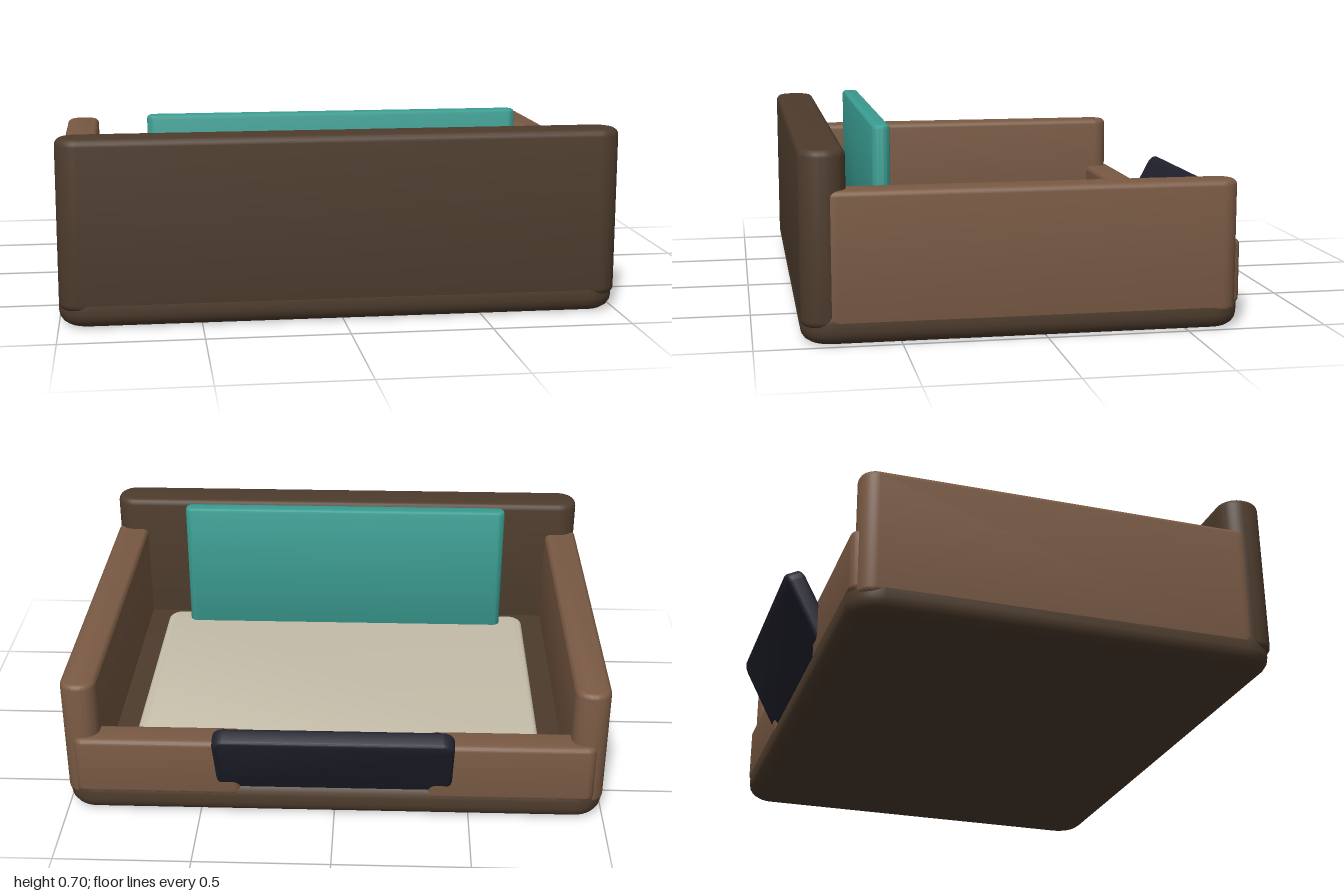
import * as THREE from 'three';
import { toCreasedNormals } from 'three/addons/utils/BufferGeometryUtils.js';

const mat = (name, color) => {
  const m = new THREE.MeshStandardMaterial({ color });
  m.name = name;
  return m;
};

// Slab with rounded corners in plan (radius r) and softened top and bottom edges
function slab(w, h, d, r, bevel) {
  const x = w / 2 - bevel, y = d / 2 - bevel, c = Math.max(r - bevel, 0.004);
  const s = new THREE.Shape();
  s.moveTo(-x + c, -y);
  s.absarc(x - c, -y + c, c, -Math.PI / 2, 0);
  s.absarc(x - c, y - c, c, 0, Math.PI / 2);
  s.absarc(-x + c, y - c, c, Math.PI / 2, Math.PI);
  s.absarc(-x + c, -y + c, c, Math.PI, Math.PI * 1.5);
  const g = new THREE.ExtrudeGeometry(s, {
    depth: h - 2 * bevel, bevelEnabled: true, bevelThickness: bevel,
    bevelSize: bevel, bevelSegments: 4, curveSegments: 6,
  });
  g.translate(0, 0, -(h - 2 * bevel) / 2);
  g.rotateX(-Math.PI / 2);
  return toCreasedNormals(g, 0.6);
}

export function createModel() {
  const root = new THREE.Group();
  root.name = 'petBed';
  const darkBrown = mat('dark brown', 0x4e3c2d);
  const brown = mat('warm brown', 0x7a5a44);
  const cream = mat('cream', 0xc8c0ac);
  const teal = mat('teal', 0x3a9d92);
  const navy = mat('dark navy', 0x232330);

  // Places a slab by its extents on each axis
  const add = (name, material, [x0, x1], [y0, y1], [z0, z1], r, bevel) => {
    const m = new THREE.Mesh(slab(x1 - x0, y1 - y0, z1 - z0, r, bevel), material);
    m.position.set((x0 + x1) / 2, (y0 + y1) / 2, (z0 + z1) / 2);
    m.name = name;
    root.add(m);
    return m;
  };

  // Base and cushion
  add('base', darkBrown, [-1, 1], [0, 0.13], [-0.7, 0.84], 0.11, 0.05);
  add('cushion', cream, [-0.775, 0.775], [0.09, 0.175], [-0.535, 0.595], 0.06, 0.02);

  // Tall front wall and the upright pad just behind it
  add('frontWall', darkBrown, [-0.998, 0.998], [0.06, 0.665], [0.68, 0.84], 0.075, 0.025);
  add('uprightPad', teal, [-0.675, 0.675], [0.15, 0.705], [0.5, 0.565], 0.03, 0.013);

  // Side walls and the low back walls either side of the entrance
  for (const s of [1, -1]) {
    const span = (a, b) => (s > 0 ? [a, b] : [-b, -a]);
    add(s > 0 ? 'leftWall' : 'rightWall', brown, span(0.868, 1), [0.06, 0.527], [-0.68, 0.775], 0.06, 0.02);
    add(s > 0 ? 'leftBackWall' : 'rightBackWall', brown, span(0.34, 0.96), [0.08, 0.31], [-0.7, -0.582], 0.035, 0.02);
  }

  // Entrance flap leaning outwards
  const flap = new THREE.Mesh(slab(0.87, 0.068, 0.36, 0.045, 0.015), navy);
  flap.geometry.rotateX(Math.PI / 2);
  flap.rotation.x = -0.48;
  flap.position.set(0, 0.247, -0.717);
  flap.name = 'entranceFlap';
  root.add(flap);

  return root;
}
